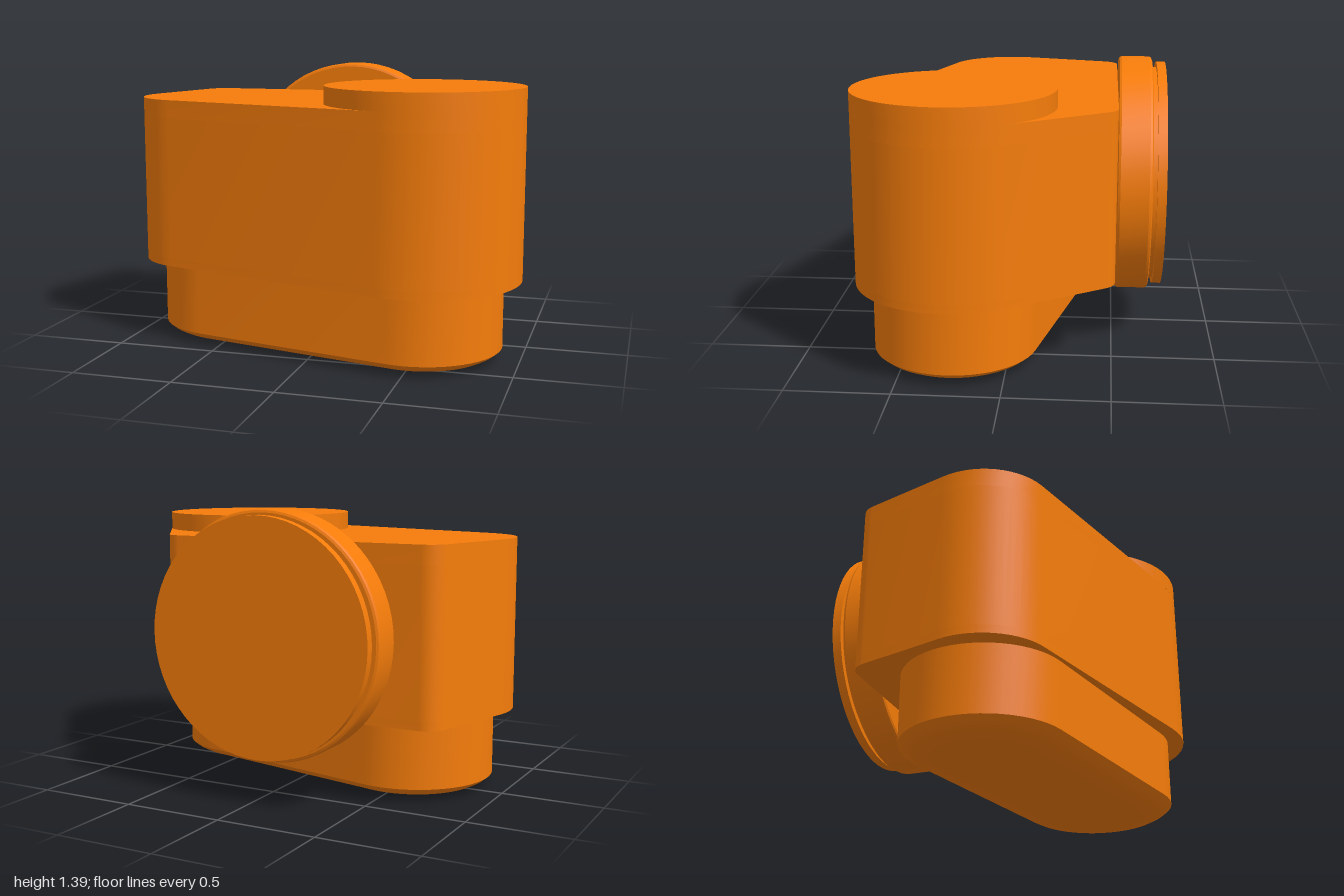
import * as THREE from 'three';
import { toCreasedNormals } from 'three/addons/utils/BufferGeometryUtils.js';

const material = new THREE.MeshStandardMaterial({ color: 0xf57c0a });

// Convex outline wrapped round circles [x, z, r], listed anticlockwise seen from above
function wrapOutline(circles, inset) {
  const n = circles.length;
  const normals = circles.map(([x, z, r], i) => {
    const [x2, z2, r2] = circles[(i + 1) % n];
    const dx = x2 - x, dy = z - z2;
    return Math.atan2(dy, dx) - Math.acos((r - r2) / Math.hypot(dx, dy));
  });
  const points = [];
  circles.forEach(([x, z, r], i) => {
    const start = normals[(i + n - 1) % n];
    const turn = 2 * Math.PI;
    const sweep = (((normals[i] - start) % turn) + turn) % turn;
    const steps = Math.max(6, Math.ceil(sweep / 0.12));
    for (let k = 0; k <= steps; k++) {
      const a = start + (sweep * k) / steps;
      points.push([x + (r - inset) * Math.cos(a), z - (r - inset) * Math.sin(a)]);
    }
  });
  return points;
}

// Closed solid through levels [y, inset] of a wrapped outline
function loft(circles, levels) {
  const rings = levels.map(([y, inset]) =>
    wrapOutline(circles, inset).map(([x, z]) => [x, y, z]));
  const count = rings[0].length;
  const positions = [];
  const tri = (a, b, c) => positions.push(...a, ...b, ...c);
  const middle = (ring) => [0, 1, 2].map((k) => ring.reduce((s, p) => s + p[k], 0) / count);
  const bottom = rings[0], top = rings[rings.length - 1];
  const low = middle(bottom), high = middle(top);
  for (let i = 0; i < count; i++) {
    const j = (i + 1) % count;
    for (let l = 0; l < rings.length - 1; l++) {
      const a = rings[l], b = rings[l + 1];
      tri(a[i], a[j], b[j]);
      tri(a[i], b[j], b[i]);
    }
    tri(low, bottom[j], bottom[i]);
    tri(high, top[i], top[j]);
  }
  const geometry = new THREE.BufferGeometry();
  geometry.setAttribute('position', new THREE.Float32BufferAttribute(positions, 3));
  return toCreasedNormals(geometry, 0.4);
}

// Turned solid from a profile of [radius, height]
function turned(profile) {
  const points = profile.map(([r, h]) => new THREE.Vector2(r, h));
  return toCreasedNormals(new THREE.LatheGeometry(points, 64), 0.4);
}

export function createModel() {
  const group = new THREE.Group();
  const add = (name, geometry) => {
    const mesh = new THREE.Mesh(geometry, material);
    mesh.name = name;
    group.add(mesh);
    return mesh;
  };

  // Housing: one outline split into three bands
  const housing = [
    [0.516, 0.255, 0.484],
    [0.53, -0.41, 0.1],
    [-0.77, -0.41, 0.1],
    [-0.67, 0.08, 0.33],
  ];
  add('housingLowerBand', loft(housing, [[0.395, 0], [0.435, 0]]));
  add('housingBody', loft(housing, [[0.435, 0], [1.15, 0]]));
  add('housingUpperBand', loft(housing, [[1.15, 0], [1.24, 0]]));

  // Capsule-shaped foot with a rounded lower edge
  const foot = [[0.512, 0.257, 0.4], [-0.512, 0.03, 0.4]];
  add('foot', loft(foot, [
    [0, 0.15], [0.005, 0.11], [0.018, 0.065], [0.037, 0.028], [0.06, 0], [0.41, 0],
  ]));

  // Round cap on top, flush with the large end of the housing
  add('topCap', turned([[0, 0], [0.484, 0], [0.484, 0.09], [0, 0.09]]))
    .position.set(0.516, 1.238, 0.255);

  // Round mount on the back: wide ring, then a disc on a narrow neck
  const mount = new THREE.Group();
  mount.name = 'rearMount';
  mount.position.set(-0.055, 0.793, -0.51);
  mount.rotation.x = -Math.PI / 2;
  const ring = add('rearRing', turned([
    [0, 0], [0.58, 0], [0.591, 0.005], [0.596, 0.016],
    [0.596, 0.152], [0.591, 0.163], [0.58, 0.168], [0, 0.168],
  ]));
  const disc = add('rearDisc', turned([
    [0, 0.16], [0.542, 0.16], [0.542, 0.19], [0.57, 0.19], [0.57, 0.234], [0, 0.234],
  ]));
  mount.add(ring, disc);
  group.add(mount);

  return group;
}
